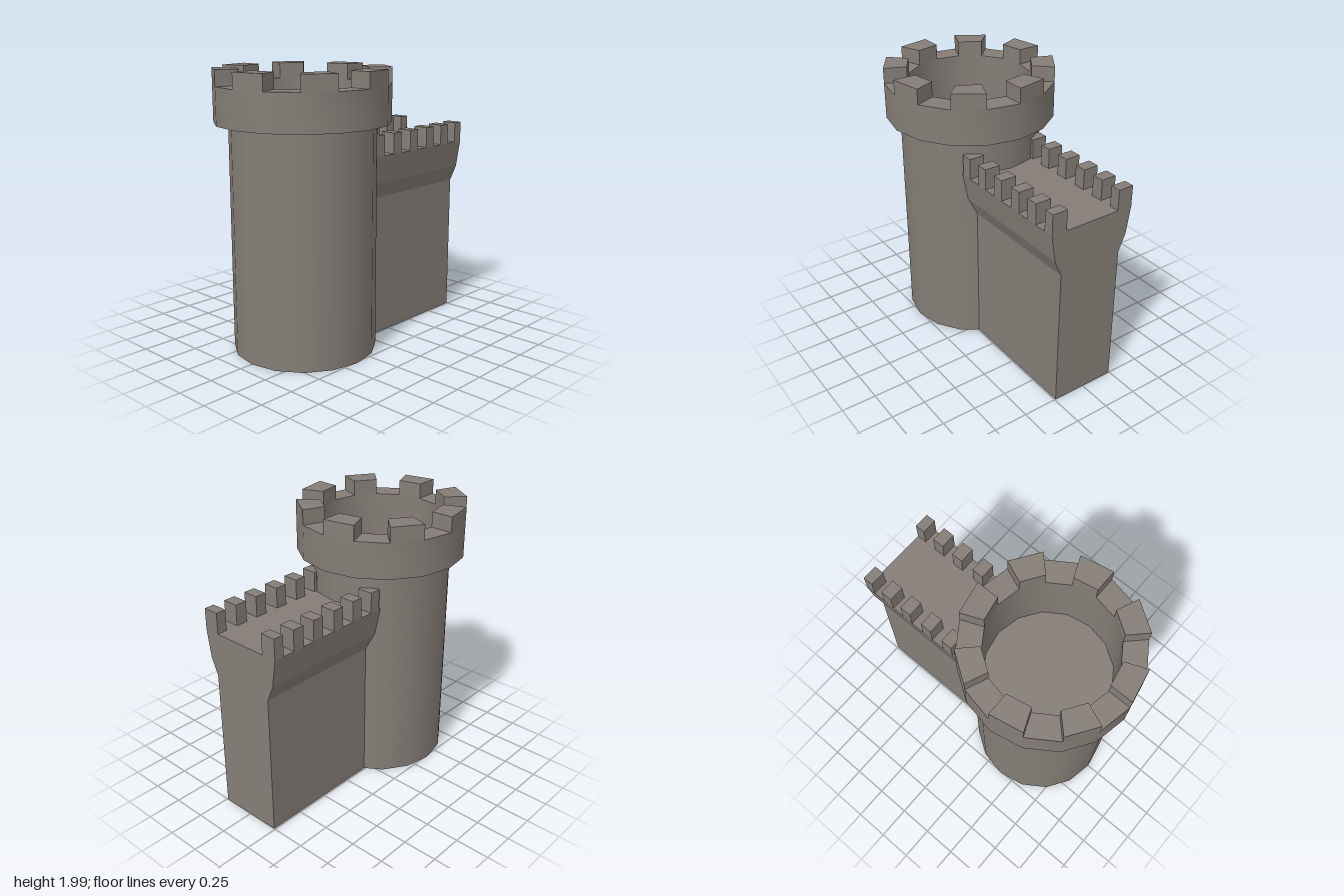
import * as THREE from 'three';
import { toCreasedNormals } from 'three/addons/utils/BufferGeometryUtils.js';

const SIDES = 16;
const TOWER_Z = 0.39;
const RIM_OUT = 0.61, RIM_IN = 0.445, RIM_Y = 1.88, TOP_Y = 1.99;

export function createModel() {
  const stone = new THREE.MeshStandardMaterial({ color: 0x857e77, side: THREE.DoubleSide });
  stone.name = 'stone';

  const add = (parent, name, geometry) => {
    const mesh = new THREE.Mesh(geometry, stone);
    mesh.name = name;
    parent.add(mesh);
    return mesh;
  };
  const shapeOf = (pts) => new THREE.Shape(pts.map(([x, y]) => new THREE.Vector2(x, y)));

  const model = new THREE.Group();
  model.name = 'castleTowerWithWall';

  // Round tower: hollow shaft, open at the bottom
  const tower = new THREE.Group();
  tower.name = 'tower';
  tower.position.z = TOWER_Z;
  model.add(tower);
  const shaft = new THREE.CylinderGeometry(0.51, 0.51, 1.62, SIDES, 1, true);
  add(tower, 'towerShaft', shaft).position.y = 0.81;

  // Overhanging collar with a sunken floor
  const profile = [[0.5, 1.62], [RIM_OUT, 1.62], [RIM_OUT, RIM_Y], [RIM_IN, RIM_Y], [RIM_IN, 1.4], [0, 1.4]];
  const collar = new THREE.LatheGeometry(profile.map(([r, y]) => new THREE.Vector2(r, y)), SIDES);
  add(tower, 'towerCollar', toCreasedNormals(collar, 0.6));

  // Wedge-shaped merlons on every second side of the rim
  const step = (Math.PI * 2) / SIDES;
  for (let k = 1; k < SIDES; k += 2) {
    const at = (r, a) => [r * Math.cos(a), -r * Math.sin(a)];
    const a0 = k * step, a1 = a0 + step;
    const wedge = new THREE.ExtrudeGeometry(
      shapeOf([at(RIM_IN, a0), at(RIM_OUT, a0), at(RIM_OUT, a1), at(RIM_IN, a1)]),
      { depth: TOP_Y - RIM_Y, bevelEnabled: false });
    wedge.rotateX(-Math.PI / 2);
    add(tower, 'towerMerlon', wedge).position.y = RIM_Y;
  }

  // Wall flaring out towards its walkway, running into the tower
  const wall = new THREE.Group();
  wall.name = 'wall';
  model.add(wall);
  const half = [[0.242, 0], [0.242, 1.04], [0.294, 1.16], [0.325, 1.36]];
  const outline = [...half, ...half.map(([x, y]) => [-x, y]).reverse()];
  const body = new THREE.ExtrudeGeometry(shapeOf(outline), { depth: 1.15, bevelEnabled: false });
  add(wall, 'wallBody', body).position.z = -1;

  // Square merlons along both edges of the walkway
  const spans = [[-0.01, -0.095], [-0.195, -0.28], [-0.38, -0.468], [-0.57, -0.657], [-0.747, -0.835], [-0.925, -1]];
  for (const side of [-1, 1]) {
    for (const [z0, z1] of spans) {
      const merlon = new THREE.BoxGeometry(0.115, 0.15, z0 - z1);
      add(wall, 'wallMerlon', merlon).position.set(side * 0.2675, 1.435, (z0 + z1) / 2);
    }
  }

  return model;
}
